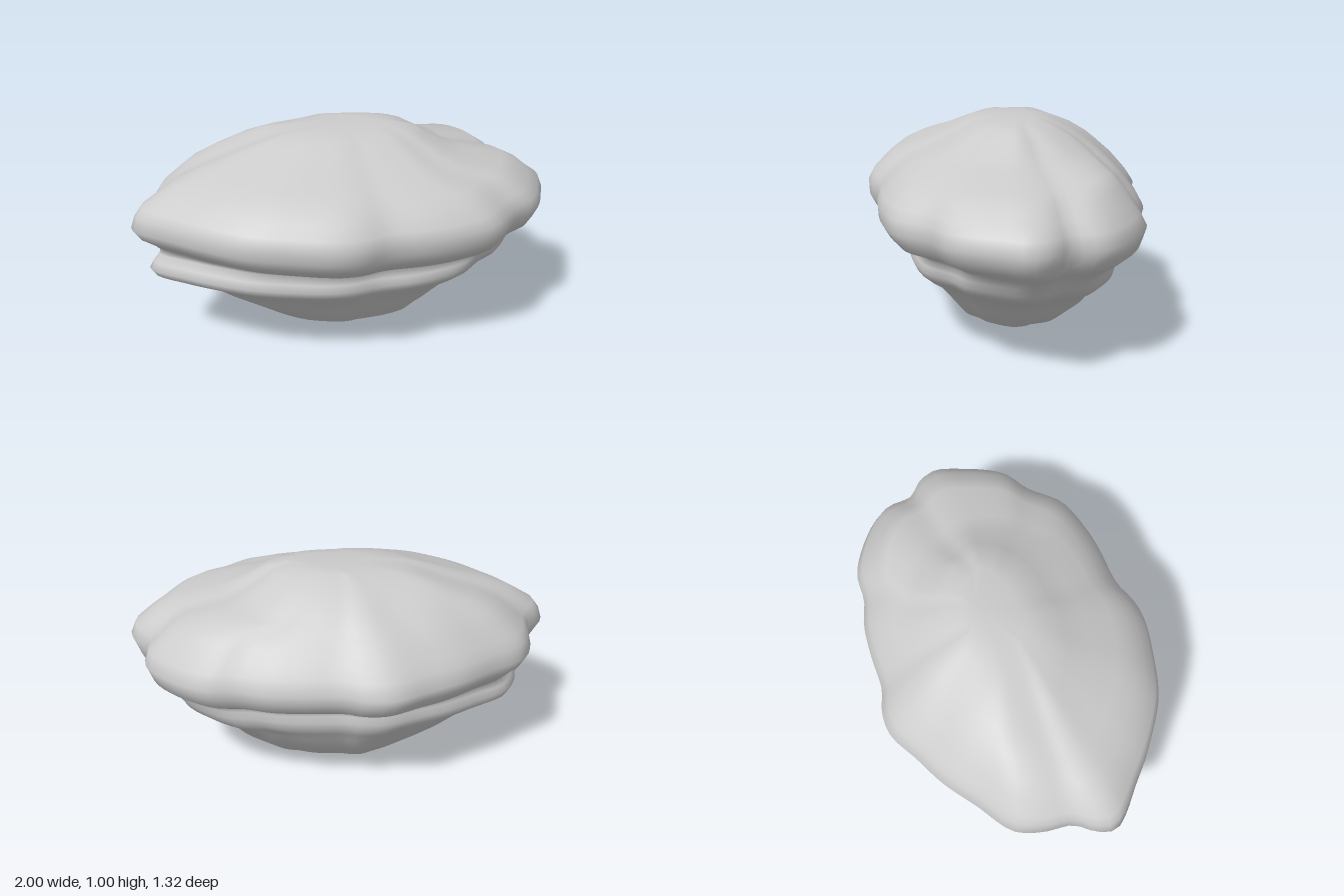
import * as THREE from 'three';

// Plan outline of the widest rim as x, z pairs, from the back round by +x
const OUTLINE = [
  -0.17, -0.66, -0.05, -0.65, 0.04, -0.61, 0.22, -0.59, 0.38, -0.56, 0.5, -0.51, 0.65, -0.485,
  0.83, -0.35, 0.91, -0.23, 0.91, -0.09, 0.97, -0.02, 1, 0.08, 0.96, 0.18, 0.83, 0.39,
  0.7, 0.46, 0.56, 0.585, 0.4, 0.625, 0.25, 0.635, 0.04, 0.625, -0.08, 0.655, -0.19, 0.655,
  -0.38, 0.6, -0.57, 0.52, -0.75, 0.37, -0.86, 0.25, -0.97, 0.13, -1, 0.07, -0.97, -0.01,
  -0.9, -0.09, -0.87, -0.22, -0.81, -0.34, -0.64, -0.44, -0.48, -0.535, -0.33, -0.595,
];

// Strata: height, then reach towards -x, +x, +z and -z
const STRATA = [
  [0.02, 0.16, 0.24, 0.12, 0.16],
  [0.05, 0.24, 0.33, 0.19, 0.22],
  [0.1, 0.4, 0.44, 0.265, 0.3],
  [0.2, 0.57, 0.57, 0.335, 0.4],
  [0.27, 0.67, 0.62, 0.39, 0.44],
  [0.33, 0.8, 0.76, 0.45, 0.485],
  [0.37, 0.91, 0.82, 0.49, 0.51],
  [0.405, 0.935, 0.845, 0.505, 0.515],
  [0.44, 0.915, 0.87, 0.495, 0.51],
  [0.475, 0.885, 0.9, 0.48, 0.505],
  [0.5, 0.88, 0.93, 0.515, 0.59],
  [0.53, 0.905, 0.965, 0.59, 0.63],
  [0.57, 0.965, 0.98, 0.625, 0.645],
  [0.62, 1, 1, 0.652, 0.66],
  [0.68, 0.98, 0.975, 0.655, 0.62],
  [0.72, 0.95, 0.92, 0.635, 0.585],
  [0.77, 0.87, 0.86, 0.59, 0.54],
  [0.81, 0.8, 0.78, 0.54, 0.495],
  [0.85, 0.69, 0.58, 0.47, 0.45],
  [0.89, 0.56, 0.49, 0.35, 0.4],
  [0.94, 0.42, 0.4, 0.24, 0.32],
  [0.975, 0.3, 0.34, 0.17, 0.24],
  [0.995, 0.14, 0.25, 0.08, 0.18],
];

// Shoulders raised above the strata: x, z, radius, height
const SHOULDERS = [
  [-0.37, -0.25, 0.14, 0.03],
  [-0.6, -0.22, 0.18, 0.025],
  [0.64, -0.3, 0.17, 0.035],
];

function shoulderRise(x, y, z) {
  let rise = 0;
  for (const [cx, cz, r, h] of SHOULDERS) rise += h * Math.exp(-((x - cx) ** 2 + (z - cz) ** 2) / (r * r));
  return rise * THREE.MathUtils.smoothstep(y, 0.68, 0.82);
}

function strataGeometry() {
  const pts = [];
  for (let i = 0; i < OUTLINE.length; i += 2) pts.push(new THREE.Vector3(OUTLINE[i], 0, OUTLINE[i + 1]));
  const N = 108;
  const plan = new THREE.CatmullRomCurve3(pts, true, 'centripetal').getSpacedPoints(N).slice(0, N);
  const pos = [], index = [];

  for (const [y, left, right, front, back] of STRATA) {
    // Bands undulate, mostly at the front; base and crown have a rounder outline
    const wave = 0.016 * Math.sin(Math.PI * y);
    const soft = Math.min(0.35, Math.abs(y - 0.62) * 0.9);
    for (const p of plan) {
      const a = Math.atan2(p.z / 0.66, p.x);
      const ux = THREE.MathUtils.lerp(p.x, Math.cos(a), soft);
      const uz = THREE.MathUtils.lerp(p.z / 0.66, Math.sin(a), soft);
      const x = ux * (ux < 0 ? left : right);
      const z = uz * (uz < 0 ? back : front);
      const lift = wave * Math.sin(3 * a + 0.5) * (0.6 + 0.4 * Math.sin(a));
      pos.push(x, y + lift + shoulderRise(x, y, z), z);
    }
  }

  // Side skin between neighbouring strata
  for (let j = 0; j < STRATA.length - 1; j++) {
    for (let i = 0; i < N; i++) {
      const k = (i + 1) % N;
      const a = j * N + i, b = j * N + k, c = a + N, d = b + N;
      index.push(a, c, b, b, c, d);
    }
  }

  // Closing fans at base and crown
  const base = pos.length / 3, crown = base + 1, last = (STRATA.length - 1) * N;
  pos.push(-0.03, 0, -0.07, 0.08, 1.003, -0.1);
  for (let i = 0; i < N; i++) {
    const k = (i + 1) % N;
    index.push(base, i, k, crown, last + k, last + i);
  }

  const g = new THREE.BufferGeometry();
  g.setAttribute('position', new THREE.Float32BufferAttribute(pos, 3));
  g.setIndex(index);
  g.computeVertexNormals();
  return g;
}

export function createModel() {
  const group = new THREE.Group();
  group.name = 'layeredRock';
  const rock = new THREE.Mesh(strataGeometry(), new THREE.MeshStandardMaterial({ color: 0xcccccc }));
  rock.name = 'rockBody';
  group.add(rock);
  return group;
}
